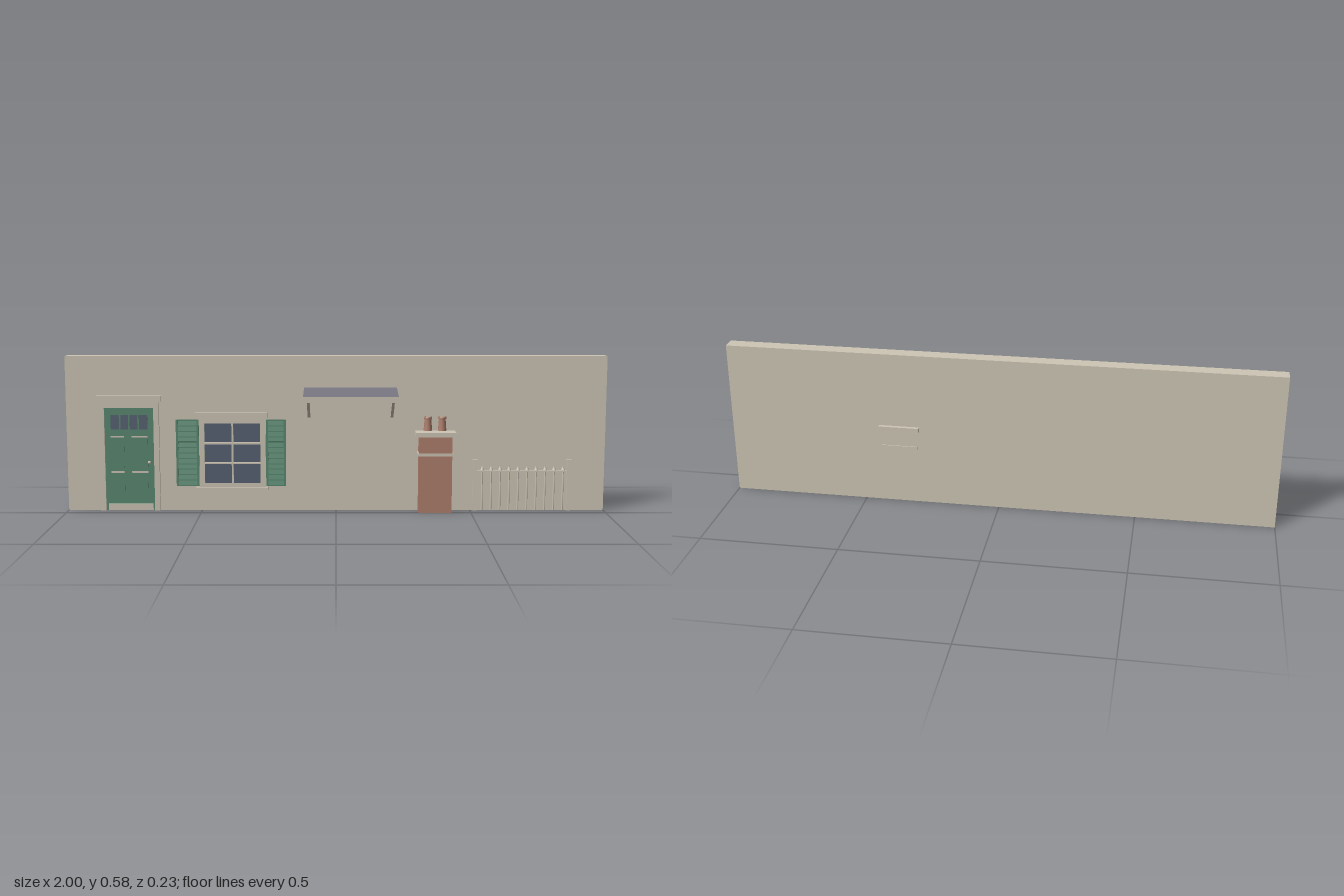
import * as THREE from 'three';

const mat = (name, color, side = THREE.FrontSide) =>
  Object.assign(new THREE.MeshStandardMaterial({ color, side }), { name });

export function createModel() {
  const stone = mat('stone', 0xcdc5b5);
  const green = mat('greenPaint', 0x588770);
  const glass = mat('glass', 0x566172);
  const brick = mat('brick', 0xae7e6c, THREE.DoubleSide);
  const slate = mat('slate', 0x777681);

  const model = new THREE.Group();
  model.name = 'houseFront';
  const FACE = -0.05; // front plane of the wall

  const group = (name) => {
    const g = new THREE.Group();
    g.name = name;
    model.add(g);
    return g;
  };
  const add = (parent, name, geometry, material, x = 0, y = 0, z = 0) => {
    const m = new THREE.Mesh(geometry, material);
    m.name = name;
    m.position.set(x, y, z);
    parent.add(m);
    return m;
  };
  // Box given by its limits on each axis
  const box = (parent, name, material, x0, x1, y0, y1, z0, z1) =>
    add(parent, name, new THREE.BoxGeometry(x1 - x0, y1 - y0, z1 - z0), material,
      (x0 + x1) / 2, (y0 + y1) / 2, (z0 + z1) / 2);

  box(model, 'wall', stone, -1, 1, 0, 0.577, -0.103, FACE);

  // Door with frame, transom light, four panels and fittings
  const door = group('door');
  box(door, 'doorLeaf', green, -0.862, -0.672, 0, 0.388, FACE, -0.045);
  for (const [x0, x1] of [[-0.878, -0.858], [-0.676, -0.656]])
    box(door, 'doorJamb', stone, x0, x1, 0, 0.41, FACE, -0.038);
  box(door, 'doorHead', stone, -0.878, -0.656, 0.386, 0.412, FACE, -0.038);
  box(door, 'doorCornice', stone, -0.887, -0.647, 0.411, 0.431, FACE, -0.031);
  box(door, 'transomGlass', glass, -0.835, -0.699, 0.305, 0.36, -0.046, -0.0435);
  for (let i = 1; i < 4; i++) {
    const x = -0.835 + i * 0.034;
    box(door, 'transomBar', green, x - 0.003, x + 0.003, 0.305, 0.36, -0.045, -0.0415);
  }
  for (const [x0, x1] of [[-0.837, -0.787], [-0.759, -0.699]]) {
    for (const [y0, y1] of [[0.04, 0.143], [0.16, 0.275]]) {
      box(door, 'doorPanel', green, x0, x1, y0, y1, -0.046, -0.042);
      box(door, 'panelMoulding', stone, x0, x1, y1, y1 + 0.006, -0.046, -0.041);
    }
  }
  box(door, 'doorKickPlate', stone, -0.85, -0.682, 0.002, 0.025, -0.046, -0.042);
  add(door, 'doorKnob', new THREE.SphereGeometry(0.006, 12, 8), stone, -0.694, 0.182, -0.041);

  // Sash window
  const win = group('window');
  box(win, 'windowGlass', glass, -0.492, -0.276, 0.098, 0.332, FACE, -0.045);
  for (const [x0, x1] of [[-0.508, -0.488], [-0.281, -0.261]])
    box(win, 'windowJamb', stone, x0, x1, 0.088, 0.35, FACE, -0.038);
  box(win, 'windowHead', stone, -0.508, -0.261, 0.328, 0.35, FACE, -0.038);
  box(win, 'windowCornice', stone, -0.52, -0.254, 0.349, 0.369, FACE, -0.031);
  box(win, 'windowBottomRail', stone, -0.49, -0.279, 0.088, 0.104, FACE, -0.038);
  box(win, 'windowSill', stone, -0.521, -0.253, 0.077, 0.09, FACE, -0.025);
  box(win, 'windowMullion', stone, -0.388, -0.381, 0.1, 0.33, -0.046, -0.041);
  for (const y of [0.179, 0.254])
    box(win, 'windowGlazingBar', stone, -0.49, -0.279, y - 0.0035, y + 0.0035, -0.046, -0.041);

  // Louvred shutters on both sides
  const shutters = group('shutters');
  for (const [x0, x1] of [[-0.594, -0.509], [-0.26, -0.186]]) {
    box(shutters, 'shutterBoard', green, x0, x1, 0.092, 0.342, FACE, -0.046);
    for (const x of [x0, x1 - 0.008])
      box(shutters, 'shutterStile', green, x, x + 0.008, 0.092, 0.342, -0.047, -0.041);
    for (let i = 0; i < 12; i++) {
      const slat = box(shutters, 'shutterSlat', green, x0 + 0.008, x1 - 0.008,
        0.097 + i * 0.0203, 0.113 + i * 0.0203, -0.0465, -0.0435);
      slat.rotation.x = -0.2;
    }
  }

  // Sloping canopy on two brackets
  const canopy = group('canopy');
  const profile = new THREE.Shape([[0.05, 0.447], [0.05, 0.461], [-0.11, 0.442], [-0.11, 0.428]]
    .map(([x, y]) => new THREE.Vector2(x, y)));
  const roof = add(canopy, 'canopyRoof',
    new THREE.ExtrudeGeometry(profile, { depth: 0.343, bevelEnabled: false }), slate, -0.118);
  roof.rotation.y = Math.PI / 2; // profile x runs towards -z
  box(canopy, 'canopyFascia', stone, -0.119, 0.226, 0.423, 0.445, 0.107, 0.1165);
  for (const x of [-0.1, 0.207]) {
    box(canopy, 'bracketPost', stone, x - 0.005, x + 0.005, 0.35, 0.448, FACE, -0.04);
    const from = new THREE.Vector2(-0.045, 0.354), to = new THREE.Vector2(0.088, 0.434);
    const run = to.clone().sub(from);
    const brace = add(canopy, 'bracketBrace', new THREE.BoxGeometry(0.01, 0.01, run.length()), stone,
      x, (from.y + to.y) / 2, (from.x + to.x) / 2);
    brace.rotation.x = -run.angle();
  }

  // Chimney standing through the wall, with two pots
  const chimney = group('chimney');
  box(chimney, 'chimneyStack', brick, 0.306, 0.428, 0, 0.286, -0.1028, 0.0045);
  box(chimney, 'chimneyBand', stone, 0.301, 0.433, 0.213, 0.223, -0.1065, 0.0085);
  box(chimney, 'chimneyCap', stone, 0.293, 0.441, 0.285, 0.301, -0.1165, 0.017);
  const potProfile = [[0.016, 0], [0.0125, 0.044], [0.015, 0.045], [0.015, 0.053], [0.01, 0.053], [0.01, 0.004], [0, 0.004]]
    .map(([r, y]) => new THREE.Vector2(r, y));
  for (const x of [0.341, 0.394])
    add(chimney, 'chimneyPot', new THREE.LatheGeometry(potProfile, 16), brick, x, 0.3, FACE);

  // Railing with spear-topped pickets
  const fence = group('railing');
  for (const x of [0.518, 0.868]) {
    box(fence, 'railingPost', stone, x - 0.007, x + 0.007, 0, 0.183, FACE - 0.004, -0.041);
    box(fence, 'railingPostCap', stone, x - 0.01, x + 0.01, 0.182, 0.191, FACE - 0.004, -0.0385);
  }
  box(fence, 'railingTopRail', stone, 0.52, 0.866, 0.145, 0.152, FACE, -0.043);
  for (let i = 0; i < 10; i++) {
    const x = 0.545 + i * 0.0335;
    add(fence, 'railingPicket', new THREE.CylinderGeometry(0.0032, 0.0032, 0.152, 8), stone, x, 0.076, -0.047);
    add(fence, 'railingSpear', new THREE.ConeGeometry(0.008, 0.018, 8), stone, x, 0.16, -0.047);
  }
  return model;
}
